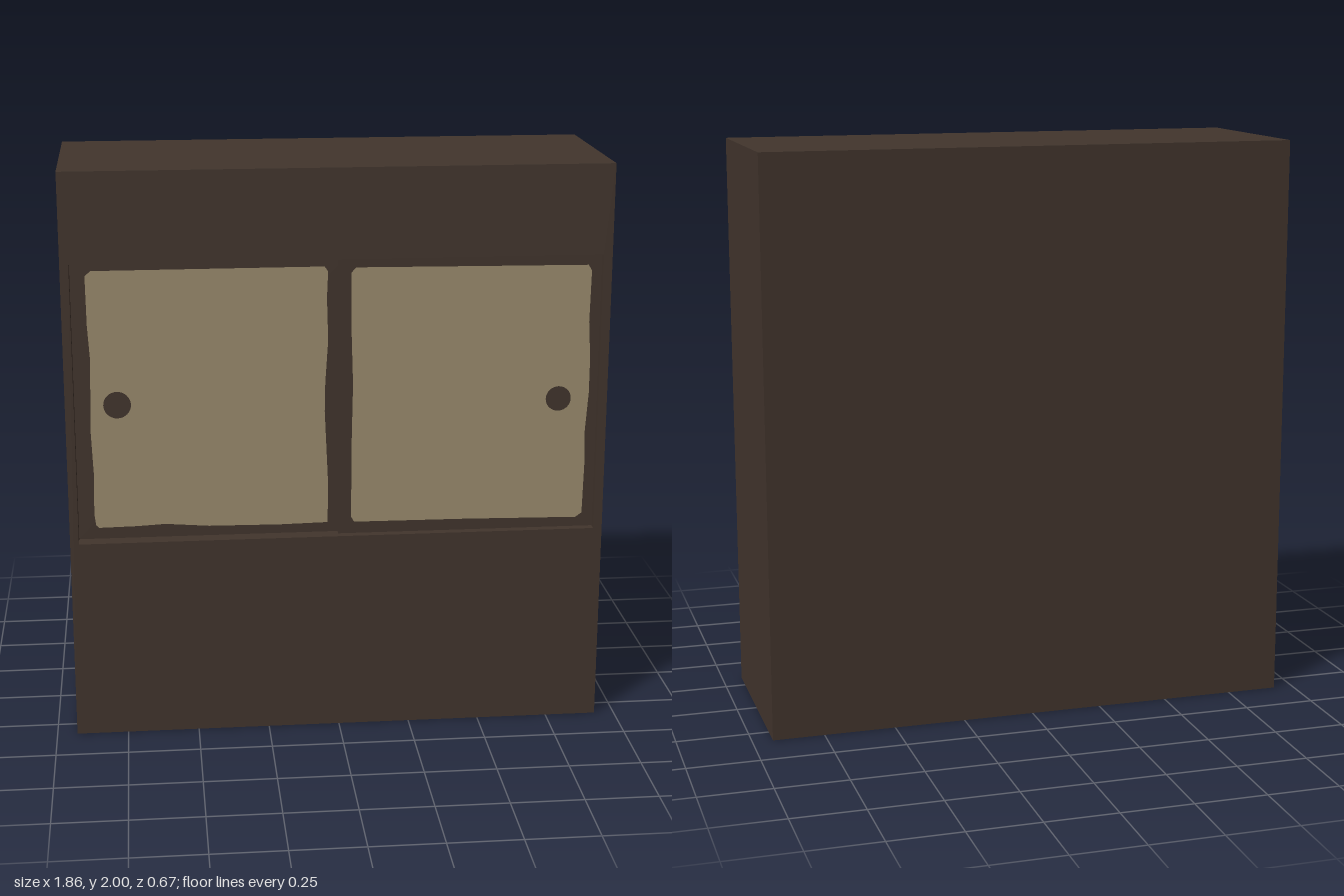
import * as THREE from 'three';

const W = 1.86, H = 2, D = 0.666, FRONT = D / 2;
const RECESS = 0.08;
const OPEN = { x0: -0.9, x1: 0.9, y0: 0.71, y1: 1.69 };

export function createModel() {
  const darkWood = new THREE.MeshStandardMaterial({ color: 0x42352d });
  darkWood.name = 'darkWood';
  const paper = new THREE.MeshStandardMaterial({ color: 0x9b8c6e });
  paper.name = 'paper';

  const model = new THREE.Group();
  model.name = 'slidingDoorCabinet';
  const add = (parent, name, geometry, material, x = 0, y = 0, z = 0) => {
    const mesh = new THREE.Mesh(geometry, material);
    mesh.name = name;
    mesh.position.set(x, y, z);
    parent.add(mesh);
    return mesh;
  };

  // Solid body behind the recess
  add(model, 'body', new THREE.BoxGeometry(W, H, D - RECESS), darkWood, 0, H / 2, -RECESS / 2);

  // Front surround with the door opening cut through it
  const face = new THREE.Shape();
  face.moveTo(-W / 2, 0).lineTo(W / 2, 0).lineTo(W / 2, H).lineTo(-W / 2, H).closePath();
  const opening = new THREE.Path();
  opening.moveTo(OPEN.x0, OPEN.y0).lineTo(OPEN.x0, OPEN.y1);
  opening.lineTo(OPEN.x1, OPEN.y1).lineTo(OPEN.x1, OPEN.y0).closePath();
  face.holes.push(opening);
  add(model, 'frontSurround',
    new THREE.ExtrudeGeometry(face, { depth: RECESS, bevelEnabled: false }),
    darkWood, 0, 0, FRONT - RECESS);

  // Sliding doors on two tracks; each paper panel leaves a round finger pull bare
  const doors = [
    {
      name: 'rightDoor', x0: OPEN.x0, x1: 0.03, z: FRONT - 0.055, pull: [-0.755, 1.19, 0.047],
      outline: [[-0.83, 0.75], [-0.7, 0.752], [-0.6, 0.757], [-0.45, 0.745], [-0.2, 0.742],
        [-0.035, 0.745], [-0.034, 0.9], [-0.045, 1.15], [-0.043, 1.25], [-0.033, 1.4],
        [-0.037, 1.55], [-0.033, 1.64], [-0.045, 1.657], [-0.83, 1.657], [-0.85, 1.64],
        [-0.848, 1.47], [-0.841, 1.35], [-0.848, 1.1], [-0.842, 0.95], [-0.845, 0.8], [-0.84, 0.76]],
    },
    {
      name: 'leftDoor', x0: 0, x1: OPEN.x1, z: FRONT - 0.03, pull: [0.765, 1.18, 0.044],
      outline: [[0.055, 0.752], [0.45, 0.75], [0.84, 0.744], [0.862, 0.76], [0.866, 0.95],
        [0.862, 1.05], [0.872, 1.2], [0.872, 1.32], [0.864, 1.45], [0.867, 1.63], [0.855, 1.65],
        [0.5, 1.653], [0.06, 1.657], [0.044, 1.64], [0.044, 1.45], [0.05, 1.25], [0.045, 1.0],
        [0.045, 0.77]],
    },
  ];
  for (const { name, x0, x1, z, pull, outline } of doors) {
    const door = new THREE.Group();
    door.name = name;
    model.add(door);
    const thickness = 0.025;
    add(door, name + 'Panel',
      new THREE.BoxGeometry(x1 - x0, OPEN.y1 - OPEN.y0, thickness), darkWood,
      (x0 + x1) / 2, (OPEN.y0 + OPEN.y1) / 2, z - thickness / 2);
    const sheet = new THREE.Shape(outline.map(([x, y]) => new THREE.Vector2(x, y)));
    const hole = new THREE.Path();
    hole.absarc(pull[0], pull[1], pull[2], 0, Math.PI * 2, true);
    sheet.holes.push(hole);
    add(door, name + 'Paper', new THREE.ShapeGeometry(sheet, 16), paper, 0, 0, z + 0.002);
  }
  return model;
}
